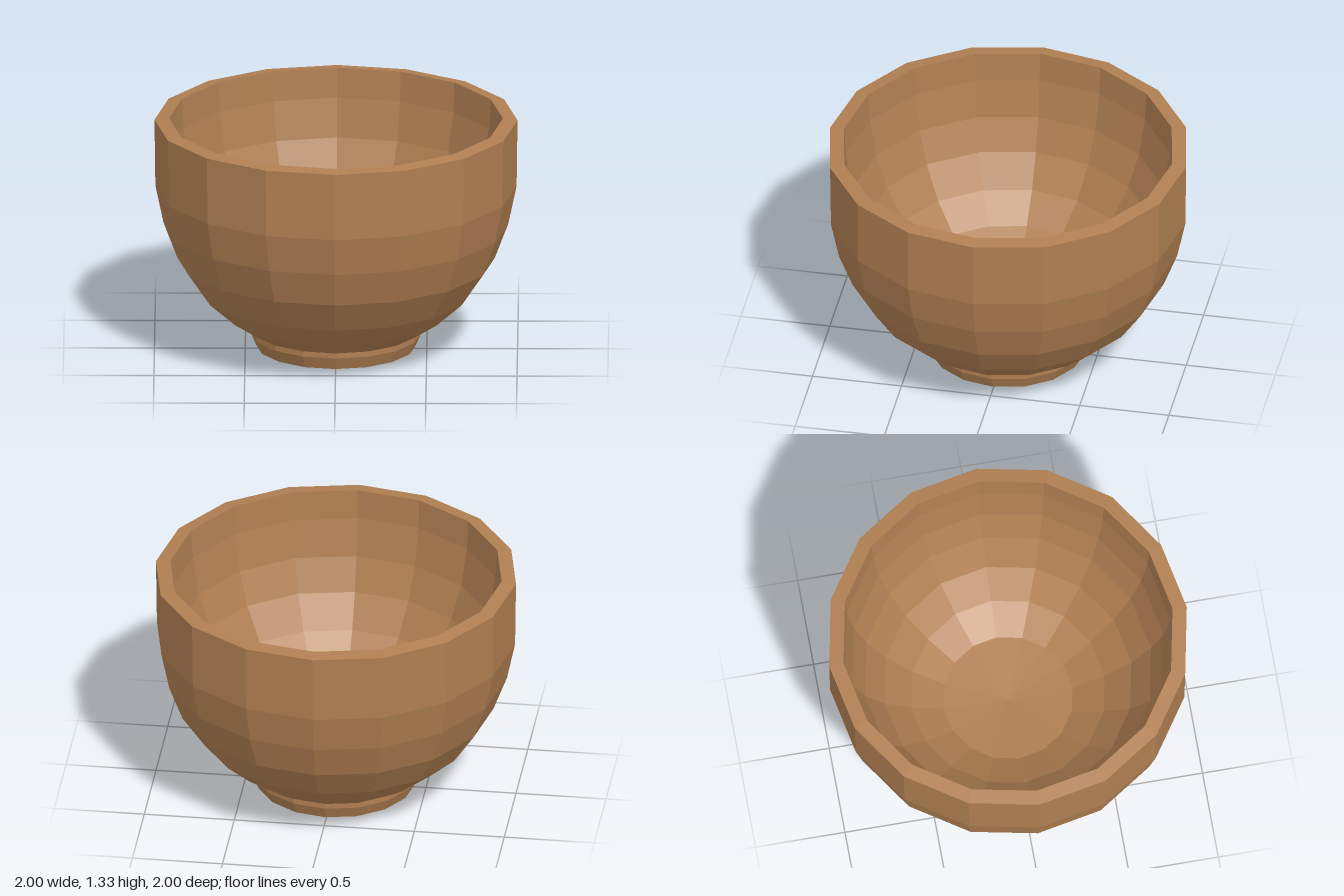
import * as THREE from 'three';

const SIDES = 16;

// Faceted solid of revolution; profile runs from the bottom, up the outside
function turned(name, profile, material) {
  const points = profile.map(([r, y]) => new THREE.Vector2(r, y));
  const mesh = new THREE.Mesh(new THREE.LatheGeometry(points, SIDES), material);
  mesh.name = name;
  return mesh;
}

export function createModel() {
  const group = new THREE.Group();
  group.name = 'bowl';

  const wood = new THREE.MeshStandardMaterial({ color: 0xb07f52 });
  wood.name = 'brown wood';
  wood.flatShading = true;

  // Low foot with a chamfered underside
  group.add(turned('foot', [
    [0, 0], [0.3, 0], [0.44, 0.02], [0.47, 0.09], [0.47, 0.125],
  ], wood));

  // Outer wall, rim, then inner wall down to the thick floor
  group.add(turned('bowlBody', [
    [0.47, 0.12], [0.6, 0.205], [0.75, 0.34], [0.875, 0.525],
    [0.95, 0.725], [0.995, 0.94], [1, 1.32],
    [0.92, 1.33],
    [0.91, 1.16], [0.87, 0.942], [0.8, 0.755], [0.69, 0.575],
    [0.54, 0.435], [0.36, 0.335], [0, 0.305],
  ], wood));

  return group;
}
